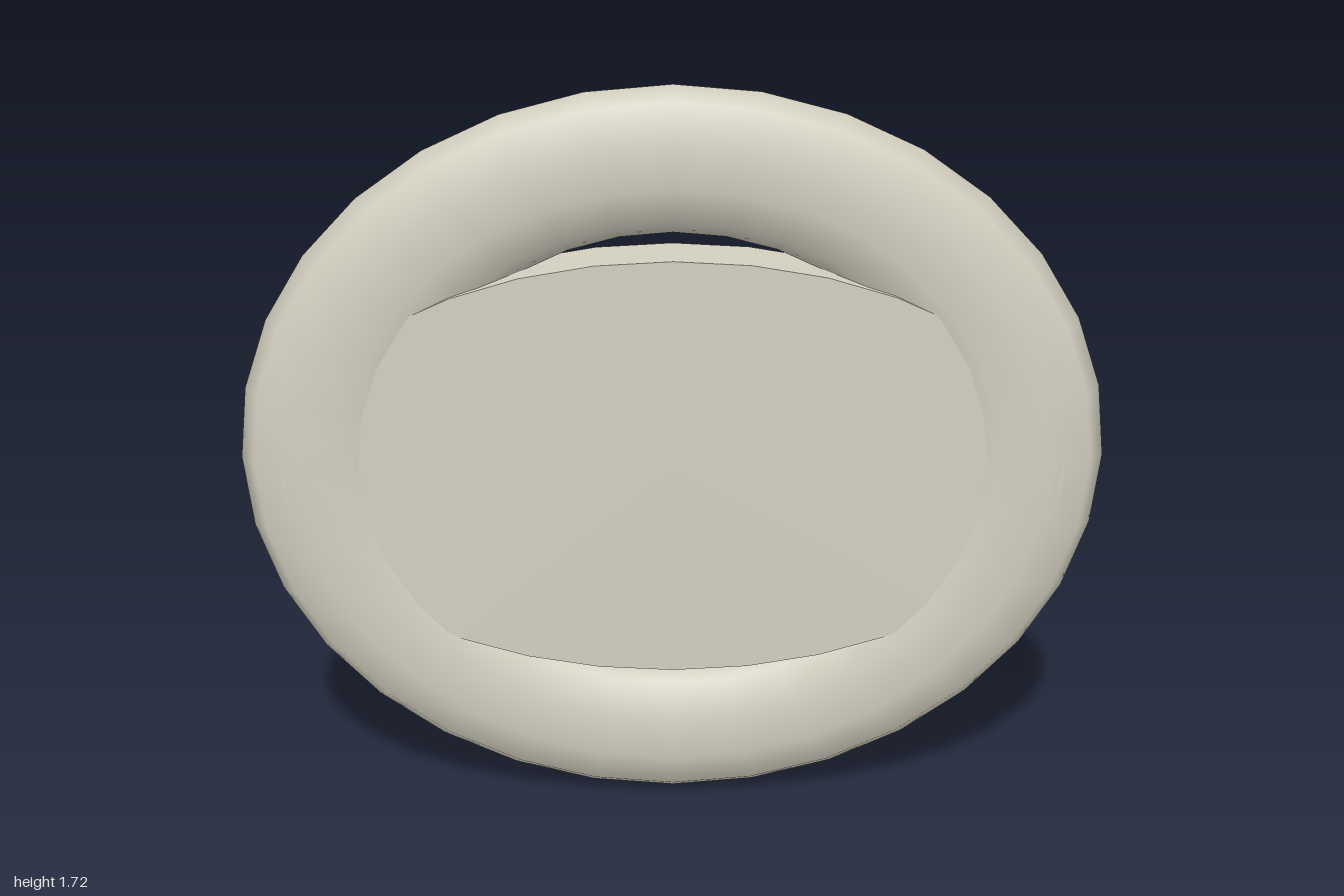
import * as THREE from 'three';

export function createModel() {
  const group = new THREE.Group();
  const stone = new THREE.MeshStandardMaterial({ color: 0xd3cfc0 });
  stone.name = 'warm stone';

  // Flattened oval ring, standing upright
  const ringGeo = new THREE.TorusGeometry(0.695, 0.165, 10, 32);
  ringGeo.scale(1 / 0.86, 1, 0.084 / 0.165);
  const ring = new THREE.Mesh(ringGeo, stone);
  ring.name = 'ovalRing';
  ring.position.set(0, 0.86, 0.0135);
  group.add(ring);

  // Thick oval disc filling the ring, reaching out behind it
  const back = -0.093, front = 0.0845;
  const discGeo = new THREE.CylinderGeometry(1, 1, front - back, 32);
  discGeo.rotateX(Math.PI / 2);
  discGeo.scale(0.9, 0.498, 1);
  const disc = new THREE.Mesh(discGeo, stone);
  disc.name = 'ovalDisc';
  disc.position.set(0, 0.842, (front + back) / 2);
  group.add(disc);

  return group;
}
